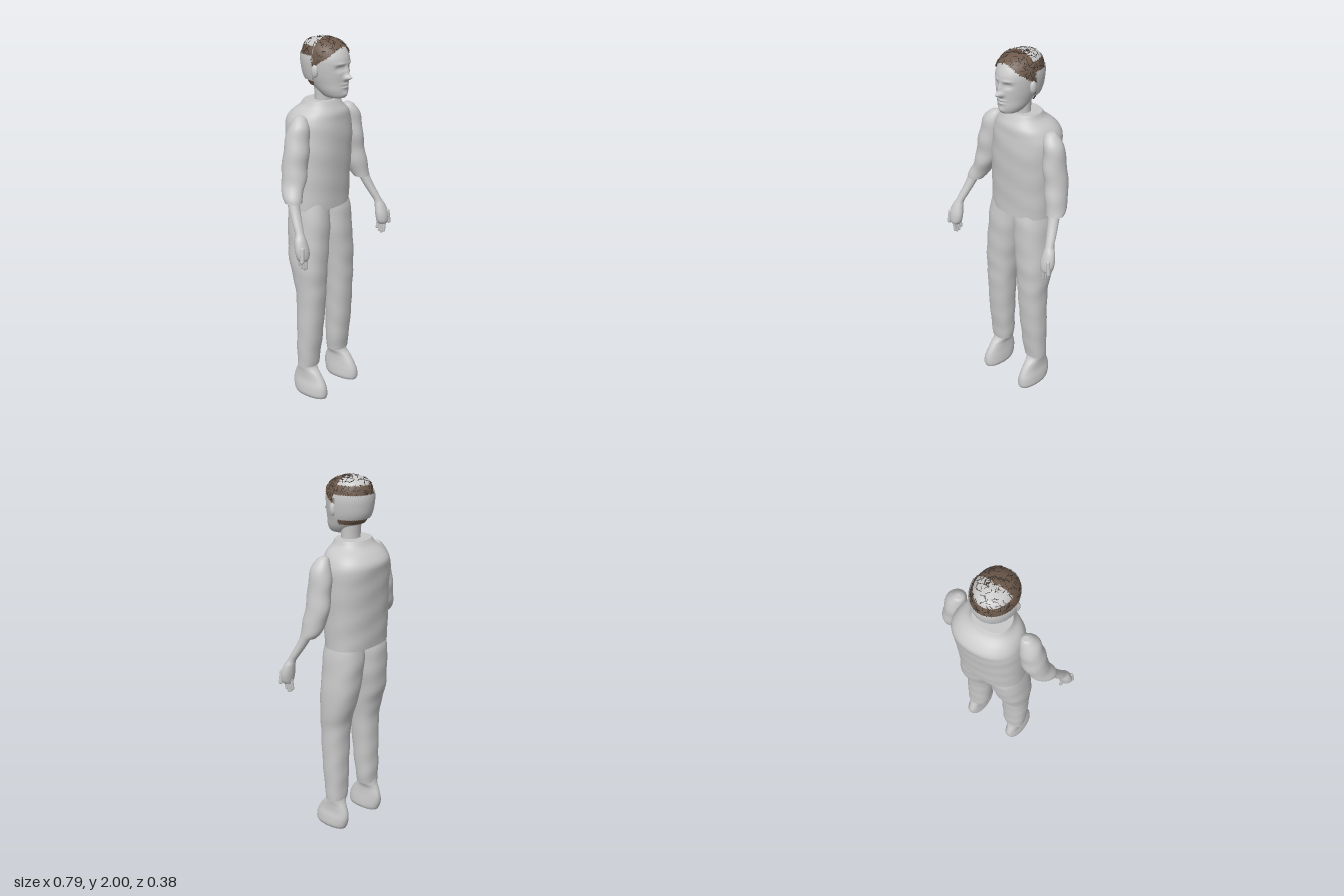
import * as THREE from 'three';
import { mergeGeometries } from 'three/addons/utils/BufferGeometryUtils.js';

const grey = new THREE.MeshStandardMaterial({ color: 0xc8c8c8 });
grey.name = 'light grey';
const brown = new THREE.MeshStandardMaterial({ color: 0x6e5a4c, side: THREE.DoubleSide });
brown.name = 'hair brown';
const dark = new THREE.MeshStandardMaterial({ color: 0x3a322d });
dark.name = 'dark strand brown';
const shellGrey = new THREE.MeshStandardMaterial({ color: 0xc8c8c8, side: THREE.DoubleSide });
shellGrey.name = 'light grey';

// Smooth loft through horizontal sections [xMin, xMax, y, zFront, zBack], listed bottom to top
function loft(rings, { power = 2, seg = 36, sub = 5, move = null, keep = null, caps = true } = {}) {
  const curve = new THREE.CubicInterpolant(rings.map((r, i) => i), rings.flat(), 5);
  const rows = (rings.length - 1) * sub;
  const pos = [], index = [];
  const bend = (v) => Math.sign(v) * Math.abs(v) ** (2 / power);
  for (let i = 0; i <= rows; i++) {
    const [x0, x1, y, zf, zb] = curve.evaluate(i / sub);
    for (let j = 0; j < seg; j++) {
      const a = (j / seg) * Math.PI * 2;
      const p = new THREE.Vector3(
        (x0 + x1) / 2 + ((x1 - x0) / 2) * bend(Math.cos(a)), y,
        (zf + zb) / 2 + ((zf - zb) / 2) * bend(Math.sin(a)));
      if (move) move(p);
      pos.push(p.x, p.y, p.z);
    }
  }
  const face = (a, b, c) => {
    const mid = (k) => (pos[a * 3 + k] + pos[b * 3 + k] + pos[c * 3 + k]) / 3;
    if (!keep || keep(mid(0), mid(1), mid(2))) index.push(a, b, c);
  };
  for (let i = 0; i < rows; i++) {
    for (let j = 0; j < seg; j++) {
      const a = i * seg + j, c = i * seg + ((j + 1) % seg);
      face(a, a + seg, c);
      face(a + seg, c + seg, c);
    }
  }
  if (caps) {
    for (const row of [0, rows]) {
      const start = pos.length / 3, mid = new THREE.Vector3();
      for (let j = 0; j < seg; j++) {
        const p = pos.slice((row * seg + j) * 3, (row * seg + j) * 3 + 3);
        pos.push(...p);
        mid.add(new THREE.Vector3(...p));
      }
      mid.divideScalar(seg);
      pos.push(mid.x, mid.y, mid.z);
      for (let j = 0; j < seg; j++) {
        const a = start + j, b = start + ((j + 1) % seg);
        if (row) face(start + seg, b, a); else face(start + seg, a, b);
      }
    }
  }
  const g = new THREE.BufferGeometry();
  g.setAttribute('position', new THREE.Float32BufferAttribute(pos, 3));
  g.setIndex(index);
  g.computeVertexNormals();
  return g;
}

function rod(a, b, r) {
  const p = new THREE.Vector3(...a), d = new THREE.Vector3(...b).sub(p);
  const g = new THREE.CapsuleGeometry(r, d.length(), 4, 10);
  g.applyQuaternion(new THREE.Quaternion().setFromUnitVectors(new THREE.Vector3(0, 1, 0), d.clone().normalize()));
  return g.translate(...p.addScaledVector(d, 0.5));
}

const mirrorRings = (rings) => rings.map(([a, b, ...rest]) => [-b, -a, ...rest]);

// Gentle cloth folds
const folds = (amount) => (p) => {
  p.z += amount * Math.sin(p.y * 47 + p.x * 14);
  p.x += amount * 0.7 * Math.sin(p.y * 38 + p.z * 20);
};

const torso = [
  [-0.185, 0.195, 1.1, 0.105, -0.155], [-0.183, 0.2, 1.25, 0.11, -0.165],
  [-0.18, 0.21, 1.42, 0.116, -0.178], [-0.172, 0.212, 1.52, 0.114, -0.188],
  [-0.162, 0.2, 1.57, 0.11, -0.188], [-0.14, 0.175, 1.61, 0.104, -0.16],
  [-0.105, 0.132, 1.645, 0.085, -0.118], [-0.09, 0.115, 1.675, 0.07, -0.095]];
const leg = [
  [-0.195, -0.07, 0.18, 0.06, -0.045], [-0.197, -0.06, 0.25, 0.068, -0.048],
  [-0.2, -0.052, 0.4, 0.085, -0.05], [-0.2, -0.04, 0.6, 0.098, -0.056],
  [-0.207, -0.03, 0.7, 0.1, -0.075], [-0.21, -0.018, 0.8, 0.103, -0.105],
  [-0.2, 0, 0.93, 0.102, -0.122], [-0.188, 0.004, 1.05, 0.1, -0.13], [-0.17, 0, 1.14, 0.085, -0.115]];
const shoe = [
  [-0.185, -0.095, 0, 0.136, -0.06], [-0.194, -0.088, 0.02, 0.142, -0.07],
  [-0.19, -0.092, 0.06, 0.138, -0.08], [-0.18, -0.098, 0.1, 0.12, -0.078],
  [-0.178, -0.1, 0.14, 0.09, -0.063], [-0.18, -0.09, 0.17, 0.06, -0.05], [-0.18, -0.085, 0.22, 0.045, -0.04]];
const sleeveHeights = [
  [1.19, 0.09, 0], [1.22, 0.088, -0.025], [1.28, 0.08, -0.05], [1.35, 0.074, -0.062],
  [1.45, 0.07, -0.062], [1.55, 0.058, -0.052], [1.6, 0.035, -0.03], [1.615, 0.015, -0.015]];
const sleeveX = {
  right: [[-0.34, -0.25], [-0.335, -0.23], [-0.308, -0.195], [-0.3, -0.165],
    [-0.28, -0.145], [-0.255, -0.14], [-0.215, -0.145], [-0.19, -0.16]],
  left: [[0.25, 0.345], [0.24, 0.343], [0.22, 0.338], [0.21, 0.322],
    [0.195, 0.31], [0.19, 0.293], [0.195, 0.26], [0.212, 0.24]] };
const forearm = [
  [-0.375, -0.325, 0.915, 0.18, 0.13], [-0.388, -0.312, 0.935, 0.186, 0.124],
  [-0.392, -0.308, 0.975, 0.182, 0.116], [-0.382, -0.315, 1.02, 0.166, 0.11],
  [-0.365, -0.318, 1.05, 0.15, 0.104], [-0.356, -0.305, 1.09, 0.13, 0.08],
  [-0.342, -0.285, 1.15, 0.102, 0.045], [-0.33, -0.265, 1.22, 0.075, 0.01]];
const skull = [
  [-0.012, 0.038, 1.69, 0.118, 0.04], [-0.038, 0.063, 1.7, 0.138, 0.01],
  [-0.058, 0.084, 1.73, 0.146, -0.03], [-0.072, 0.098, 1.77, 0.146, -0.07],
  [-0.083, 0.109, 1.81, 0.148, -0.095], [-0.09, 0.116, 1.86, 0.15, -0.106],
  [-0.09, 0.116, 1.9, 0.147, -0.108], [-0.08, 0.106, 1.94, 0.125, -0.1],
  [-0.055, 0.081, 1.972, 0.085, -0.08], [-0.005, 0.031, 1.99, 0.03, -0.02]];
const MID = 0.013;

// Nose, lips, brows, chin and eye sockets, pushed along z
function faceRelief(p) {
  if (p.z < 0.06) return;
  const x = Math.abs(p.x - MID);
  const bump = (h, cx, cy, sx, sy) => h * Math.exp(-(((x - cx) / sx) ** 2) - ((p.y - cy) / sy) ** 2);
  p.z += bump(0.034, 0, 1.803, 0.014, 0.014) + bump(0.017, 0, 1.832, 0.01, 0.025)
    + bump(0.01, 0.012, 1.8, 0.007, 0.009) + bump(0.008, 0, 1.768, 0.024, 0.006)
    + bump(0.008, 0, 1.753, 0.02, 0.007) - bump(0.006, 0, 1.761, 0.026, 0.003)
    - bump(0.015, 0.037, 1.85, 0.02, 0.013) + bump(0.006, 0.037, 1.849, 0.011, 0.006)
    + bump(0.006, 0.036, 1.874, 0.025, 0.007) + bump(0.007, 0, 1.715, 0.02, 0.014);
}

// Head section list grown outward by d
const grow = (d, up = d) => skull.map(([a, b, y, f, k]) => [a - d, b + d, y + (y - 1.85) / 0.14 * up, f + d, k - d]);

export function createModel() {
  const model = new THREE.Group();
  const add = (name, geometry, material = grey, parent = model) => {
    const m = new THREE.Mesh(geometry, material);
    m.name = name;
    parent.add(m);
  };

  add('jersey', loft(torso, { power: 2.3, seg: 56, move: folds(0.0015) }));
  add('neck', loft([[-0.045, 0.07, 1.6, 0.055, -0.045], [-0.042, 0.068, 1.68, 0.052, -0.042],
    [-0.045, 0.071, 1.77, 0.06, -0.05]]));

  for (const side of ['right', 'left']) {
    const s = side === 'right' ? -1 : 1;
    const own = (rings) => (s < 0 ? rings : mirrorRings(rings));
    add(side + 'TrouserLeg', loft(own(leg), { power: 2.3, move: folds(0.0015) }));
    add(side + 'Shoe', loft(own(shoe), { power: 2.2 }));
    const sleeve = sleeveHeights.map((h, i) => [...sleeveX[side][i], ...h]);
    add(side + 'Sleeve', loft(sleeve, { move: folds(0.003) }));

    // Forearm runs into the palm, then fingers and thumb
    const arm = new THREE.Group();
    arm.name = side + 'Forearm';
    model.add(arm);
    add('forearmAndPalm', loft(own(forearm), { seg: 24 }), grey, arm);
    for (let i = 0; i < 4; i++) {
      const z = 0.13 + i * 0.015, drop = [0.885, 0.87, 0.866, 0.875][i];
      add('finger', rod([s * 0.348, 0.945, z], [s * 0.342, drop, z - 0.004], 0.0085), grey, arm);
    }
    add('thumb', rod([s * 0.375, 0.985, 0.172], [s * 0.383, 0.92, 0.176], 0.011), grey, arm);

    const ear = new THREE.SphereGeometry(1, 16, 12).scale(0.014, 0.034, 0.02);
    add(side + 'Ear', ear.translate(MID + s * 0.11, 1.835, 0.03));
  }

  // Head with its hair in shells: brown front, grey back band and crown, brown tufts between
  const head = new THREE.Group();
  head.name = 'head';
  model.add(head);
  add('face', loft(skull, { seg: 80, sub: 8, move: faceRelief }), grey, head);
  const shell = (d, keep) => loft(grow(d, 0.006), { seg: 64, sub: 8, keep });
  const hairline = (x) => 1.955 - 6 * (x - MID) ** 2;
  const frontHair = shell(0.007, (x, y, z) => z > 0.012 && y > hairline(x) - Math.max(0, 0.07 - z) * 0.5);
  add('frontHair', frontHair, brown, head);
  const backBand = shell(0.018, (x, y, z) => z < 0.015 && y > 1.785 && y < 1.915);
  add('backHairBand', backBand, shellGrey, head);
  const crown = shell(0.008, (x, y, z) => z < 0.015 && y >= 1.955);
  add('crown', crown, shellGrey, head);
  const backHair = shell(0.011, (x, y, z) => z < 0.015 && y > 1.895 && y < 1.96);
  add('backHair', backHair, brown, head);
  add('napeHair', shell(0.009, (x, y, z) => z < 0.01 && y > 1.755 && y < 1.8), brown, head);

  // Loose strands scattered over the hair
  let seed = 7;
  const rnd = () => (seed = (seed * 16807) % 2147483647) / 2147483647;
  const strands = [];
  for (const [g, count] of [[frontHair, 90], [crown, 50], [backHair, 70]]) {
    const p = g.getAttribute('position'), n = g.getAttribute('normal'), ids = g.getIndex();
    for (let i = 0; i < count; i++) {
      const v = ids.getX(Math.floor(rnd() * ids.count));
      const normal = new THREE.Vector3().fromBufferAttribute(n, v);
      const b = new THREE.BoxGeometry(0.0025, 0.014 + rnd() * 0.014, 0.0025).rotateZ(rnd() * Math.PI);
      b.applyQuaternion(new THREE.Quaternion().setFromUnitVectors(new THREE.Vector3(0, 0, 1), normal));
      strands.push(b.translate(p.getX(v), p.getY(v), p.getZ(v)));
    }
  }
  add('hairStrands', mergeGeometries(strands), dark, head);
  return model;
}
